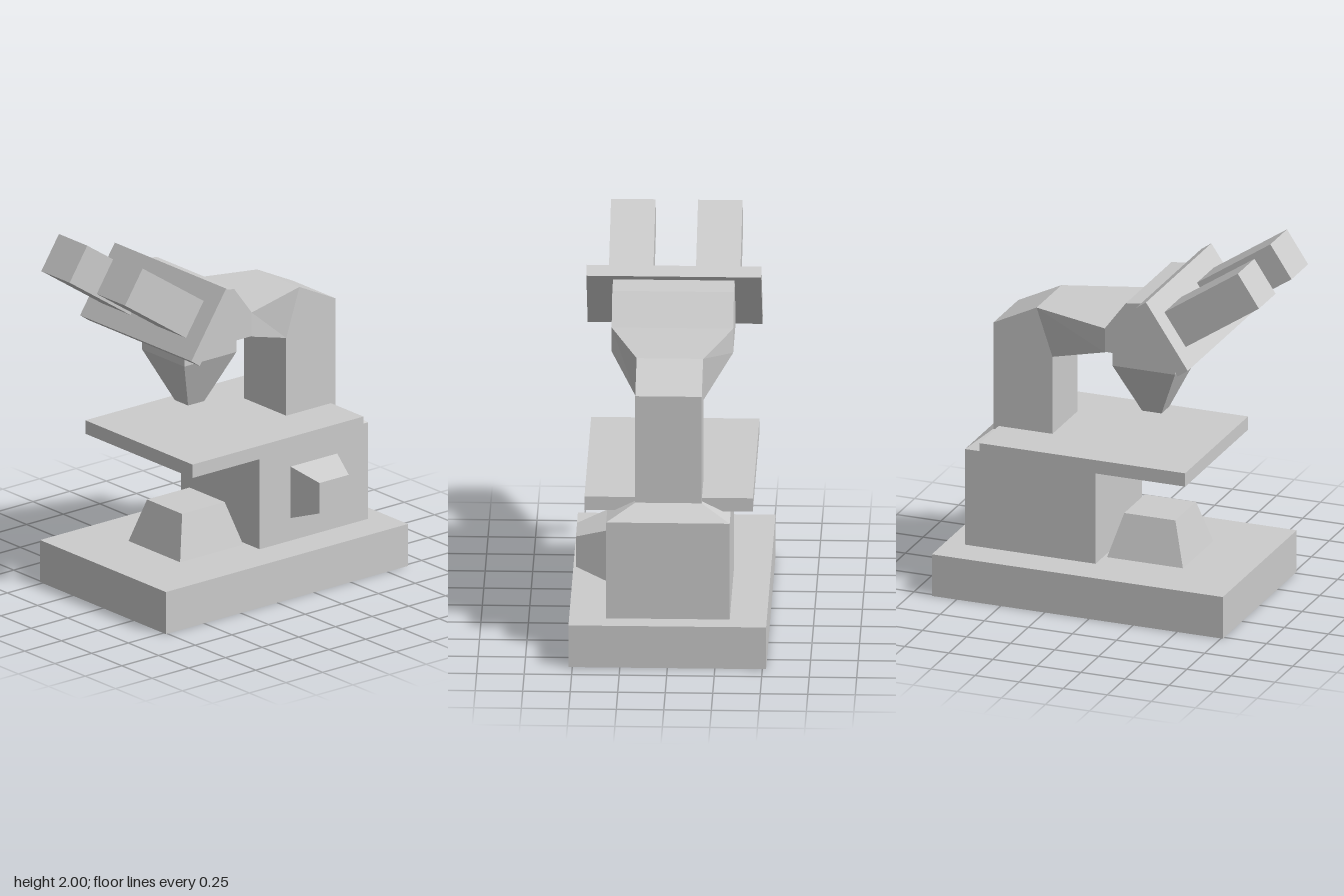
import * as THREE from 'three';

const material = new THREE.MeshStandardMaterial({ color: 0xcccccc, flatShading: true });

// Lofts rectangular sections spanning x = -w..w.
// Each section is [zA, yA, zB, yB, w]: A is the back/top edge, B the front/bottom edge.
function loft(name, sections, parent) {
  const positions = [];
  const rings = sections.map(([za, ya, zb, yb, w]) => [
    [-w, ya, za], [w, ya, za], [w, yb, zb], [-w, yb, zb],
  ]);
  const quad = (a, b, c, d) => positions.push(...a, ...b, ...c, ...a, ...c, ...d);
  for (let s = 0; s < rings.length - 1; s++) {
    const r = rings[s], q = rings[s + 1];
    for (let i = 0; i < 4; i++) {
      const j = (i + 1) % 4;
      quad(r[j], r[i], q[i], q[j]);
    }
  }
  const first = rings[0], last = rings[rings.length - 1];
  quad(first[0], first[1], first[2], first[3]);
  quad(last[3], last[2], last[1], last[0]);

  const geometry = new THREE.BufferGeometry();
  geometry.setAttribute('position', new THREE.Float32BufferAttribute(positions, 3));
  geometry.computeVertexNormals();
  const mesh = new THREE.Mesh(geometry, material);
  mesh.name = name;
  parent.add(mesh);
  return mesh;
}

// Upright section at height y
const level = (y, back, front, w) => [back, y, front, y, w];

export function createModel() {
  const model = new THREE.Group();
  model.name = 'microscope';

  // Foot and lamp
  loft('base', [level(0, -0.89, 0.76, 0.52), level(0.235, -0.89, 0.76, 0.52)], model);
  loft('lamp', [level(0.235, -0.02, 0.41, 0.213), level(0.47, 0.05, 0.34, 0.145)], model);

  // Pedestal with a sloped shoulder rising to the arm
  loft('pedestal', [
    level(0.235, -0.78, -0.04, 0.325),
    level(0.775, -0.78, -0.04, 0.325),
    level(0.85, -0.68, -0.345, 0.175),
  ], model);

  // Focus knob, tapering outwards on the left side
  const knob = loft('focusKnob', [
    level(0, -0.57, -0.25, 0.145),
    level(0.17, -0.51, -0.31, 0.085),
  ], model);
  knob.rotation.z = -Math.PI / 2;
  knob.position.set(0.322, 0.505, 0);

  // Specimen stage
  loft('stage', [level(0.795, -0.65, 0.515, 0.443), level(0.87, -0.65, 0.515, 0.443)], model);

  // Column bending forward and flaring into the head
  loft('arm', [
    level(0.85, -0.68, -0.345, 0.175),
    [-0.68, 1.45, -0.345, 1.305, 0.175],
    [-0.435, 1.57, -0.345, 1.305, 0.175],
    [0.01, 1.57, 0.01, 1.435, 0.32],
  ], model);

  // Head
  loft('head', [
    [0.01, 1.57, 0.01, 1.438, 0.32],
    [0.13, 1.73, 0.13, 1.438, 0.32],
    [0.26, 1.745, 0.38, 1.438, 0.32],
    [0.38, 1.565, 0.38, 1.438, 0.32],
  ], model);

  // Objective: square collar above a pointed tip
  loft('objective', [
    level(1.025, 0.115, 0.225, 0.055),
    level(1.305, -0.005, 0.35, 0.175),
    level(1.438, -0.005, 0.35, 0.175),
  ], model);

  // Tilted eyepiece plate
  loft('eyepiecePlate', [
    [0.243, 1.77, 0.48, 1.418, 0.46],
    [0.3, 1.81, 0.537, 1.458, 0.46],
  ], model);

  // Pair of square eyepieces
  for (const side of [-1, 1]) {
    const eyepiece = loft(side > 0 ? 'leftEyepiece' : 'rightEyepiece', [
      [0.358, 1.722, 0.478, 1.542, 0.117],
      [0.775, 2.0, 0.895, 1.82, 0.117],
    ], model);
    eyepiece.position.x = side * 0.229;
  }

  return model;
}
